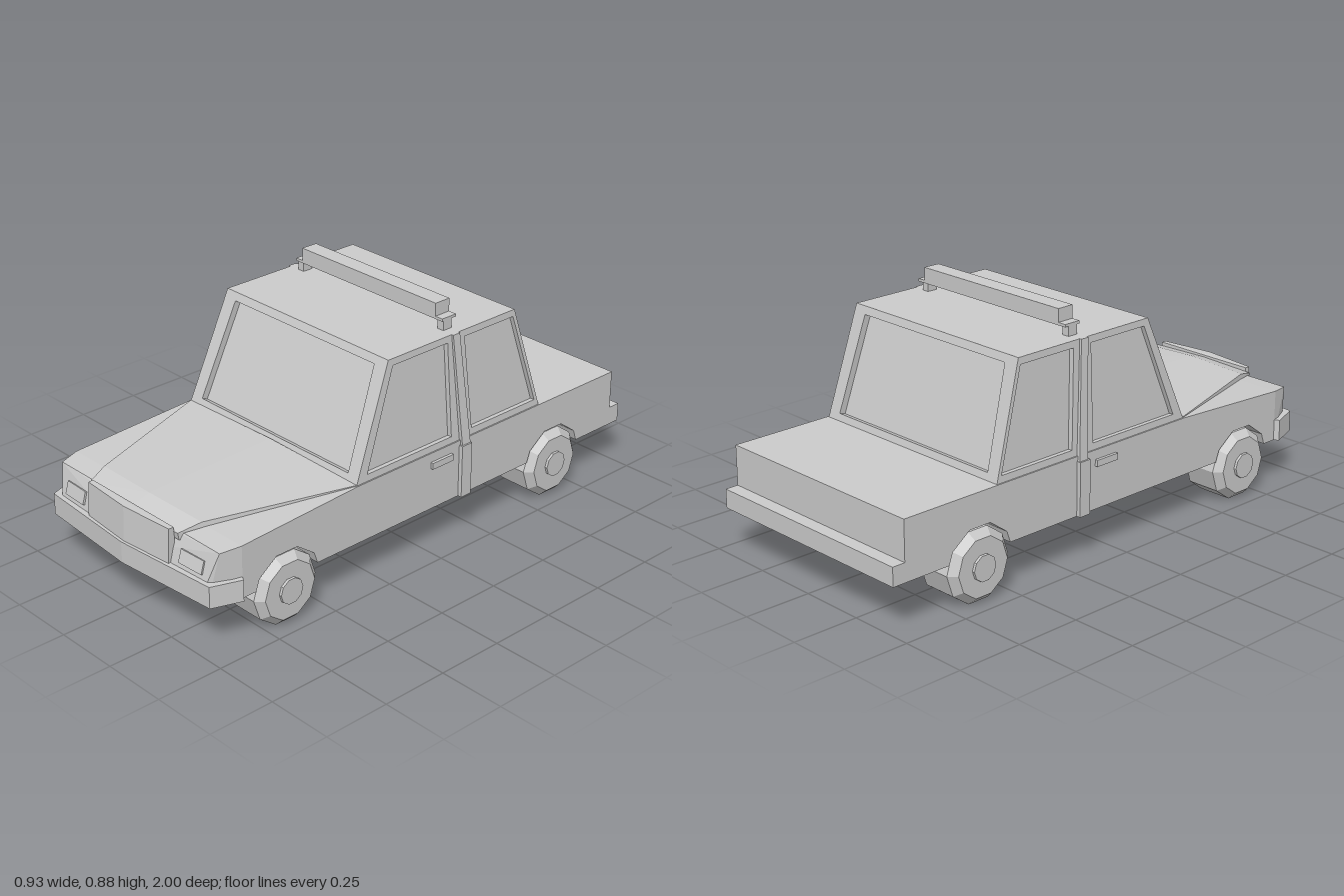
import * as THREE from 'three';
import { ConvexGeometry } from 'three/addons/geometries/ConvexGeometry.js';

export function createModel() {
  const car = new THREE.Group();
  car.name = 'car';
  const mat = new THREE.MeshStandardMaterial({ color: 0xcccccc, flatShading: true });

  const add = (name, geometry, x = 0, y = 0, z = 0) => {
    const mesh = new THREE.Mesh(geometry, mat);
    mesh.name = name;
    mesh.position.set(x, y, z);
    car.add(mesh);
    return mesh;
  };
  const box = (name, w, h, d, x, y, z) => add(name, new THREE.BoxGeometry(w, h, d), x, y, z);
  // Convex solid; points off the centre plane are mirrored when asked
  const hull = (name, points, mirror = true) => {
    const all = points.map(p => new THREE.Vector3(...p));
    if (mirror) points.forEach(([x, y, z]) => { if (x) all.push(new THREE.Vector3(-x, y, z)); });
    return add(name, new ConvexGeometry(all));
  };

  // Lower body: solid core and outer slabs with faceted wheel arches
  const axles = [-0.63, 0.66];
  const bodySlab = (name, width, x, arches) => {
    const s = new THREE.Shape();
    s.moveTo(-0.95, 0.172);
    if (arches) {
      for (const z of axles) {
        const arch = [[-0.134, 0.172], [-0.119, 0.215], [-0.045, 0.269]];
        arch.forEach(([dz, y]) => s.lineTo(z + dz, y));
        arch.reverse().forEach(([dz, y]) => s.lineTo(z - dz, y));
      }
    }
    s.lineTo(0.85, 0.172);
    s.lineTo(0.85, 0.365);
    s.lineTo(0.345, 0.39);
    s.lineTo(-0.95, 0.39);
    const g = new THREE.ExtrudeGeometry(s, { depth: width, bevelEnabled: false });
    g.rotateY(-Math.PI / 2).translate(width / 2, 0, 0);
    add(name, g, x);
  };
  bodySlab('bodyCore', 0.5, 0, false);
  for (const s of [-1, 1]) bodySlab('bodySide', 0.19, s * 0.345, true);

  // Nose, bonnet and upright grille
  hull('nose', [
    [0.44, 0.172, 0.85], [0.44, 0.365, 0.85], [0.42, 0.358, 0.925], [0.39, 0.25, 0.955],
    [0.39, 0.172, 0.955], [0, 0.25, 0.975], [0, 0.172, 0.975], [0, 0.345, 0.935],
  ]);
  hull('bonnet', [
    [0.435, 0.393, 0.345], [0, 0.403, 0.345], [0.26, 0.383, 0.865], [0, 0.39, 0.875],
    [0.235, 0.362, 0.945], [0, 0.366, 0.955], [0.435, 0.375, 0.345], [0.235, 0.335, 0.94],
  ]);
  hull('grille', [
    [0.215, 0.25, 0.94], [0.215, 0.25, 0.972], [0, 0.25, 0.99],
    [0.215, 0.377, 0.945], [0.215, 0.377, 0.965], [0, 0.38, 0.983], [0, 0.38, 0.955],
  ]);

  // Bumpers
  const plan = new THREE.Shape([
    [-0.44, 0.85], [0.44, 0.85], [0.458, 0.86], [0.418, 0.97], [0, 1], [-0.418, 0.97], [-0.458, 0.86],
  ].map(p => new THREE.Vector2(...p)));
  const bumper = new THREE.ExtrudeGeometry(plan, { depth: 0.08, bevelEnabled: false });
  add('frontBumper', bumper.rotateX(Math.PI / 2), 0, 0.252, 0);
  box('rearBumper', 0.88, 0.07, 0.05, 0, 0.207, -0.975);

  // Framed window: flat outer frame, reveal and recessed pane, from corners in 2D
  const windowPanel = (name, map, outer, inner, depth, flip = false) => {
    const order = a => (flip ? [...a].reverse() : a).map(([u, y]) => map(u, y));
    const o = order(outer), i = order(inner);
    const normal = o[1].clone().sub(o[0]).cross(o[3].clone().sub(o[0])).normalize();
    const pane = i.map(p => p.clone().addScaledVector(normal, -depth));
    const pts = [];
    const quad = (a, b, c, d) => pts.push(a, b, c, a, c, d);
    for (let k = 0; k < 4; k++) {
      const n = (k + 1) % 4;
      quad(o[k], o[n], i[n], i[k]);
      quad(i[k], i[n], pane[n], pane[k]);
    }
    quad(...pane);
    const g = new THREE.BufferGeometry().setFromPoints(pts);
    g.computeVertexNormals();
    add(name, g);
  };

  // Cabin: tapering walls from the waistline to the roof
  const rise = y => (y - 0.39) / 0.4;
  const endOuter = [[-0.435, 0.39], [0.435, 0.39], [0.41, 0.79], [-0.41, 0.79]];
  const endInner = [[-0.382, 0.415], [0.382, 0.415], [0.355, 0.762], [-0.355, 0.762]];
  windowPanel('windscreen', (x, y) => new THREE.Vector3(x, y, 0.345 - 0.165 * rise(y)), endOuter, endInner, 0.025);
  windowPanel('rearWindow', (x, y) => new THREE.Vector3(x, y, -0.55 + 0.12 * rise(y)), endOuter, endInner, 0.025, true);
  for (const s of [-1, 1]) {
    const wall = (z, y) => new THREE.Vector3(s * (0.435 - 0.025 * rise(y)), y, z);
    windowPanel('frontSideWindow', wall,
      [[0.345, 0.39], [-0.155, 0.39], [-0.14, 0.79], [0.18, 0.79]],
      [[0.295, 0.415], [-0.105, 0.415], [-0.098, 0.765], [0.16, 0.765]], 0.018, s < 0);
    windowPanel('rearSideWindow', wall,
      [[-0.155, 0.39], [-0.55, 0.39], [-0.43, 0.79], [-0.14, 0.79]],
      [[-0.205, 0.415], [-0.528, 0.415], [-0.422, 0.765], [-0.18, 0.765]], 0.018, s < 0);
  }
  add('roof', new THREE.PlaneGeometry(0.82, 0.61).rotateX(-Math.PI / 2), 0, 0.79, -0.125);

  // Roof light bar
  box('lightBar', 0.675, 0.058, 0.066, 0, 0.855, -0.145);

  const tyre = new THREE.LatheGeometry([
    [0, -0.102], [0.048, -0.102], [0.048, -0.092], [0.108, -0.092], [0.135, -0.065],
    [0.135, 0.065], [0.108, 0.092], [0.048, 0.092], [0.048, 0.102], [0, 0.102],
  ].map(p => new THREE.Vector2(...p)), 10).rotateZ(-Math.PI / 2);

  for (const s of [-1, 1]) {
    // Wheels with hubs
    for (const z of axles) add('wheel', tyre, s * 0.362, 0.1285, z);
    // Headlight
    box('headlight', 0.108, 0.048, 0.014, s * 0.31, 0.291, 0.948).rotation.set(-0.29, s * 0.064, 0);
    // Door handle
    box('doorHandle', 0.025, 0.024, 0.1, s * 0.4385, 0.343, -0.05);
    // Centre pillar trim, lower post and strip up to the roof
    box('pillarPost', 0.025, 0.2, 0.048, s * 0.4435, 0.272, -0.163);
    hull('pillarStrip', [
      [0.425, 0.37, -0.145], [0.45, 0.37, -0.145], [0.425, 0.37, -0.185], [0.45, 0.37, -0.185],
      [0.4, 0.79, -0.118], [0.418, 0.79, -0.118], [0.4, 0.79, -0.15], [0.418, 0.79, -0.15],
    ].map(([x, y, z]) => [s * x, y, z]), false);
    // Light bar bracket
    box('barBracket', 0.028, 0.04, 0.04, s * 0.354, 0.808, -0.14);
    box('barBracketPlate', 0.05, 0.01, 0.066, s * 0.345, 0.831, -0.145);
  }
  return car;
}
